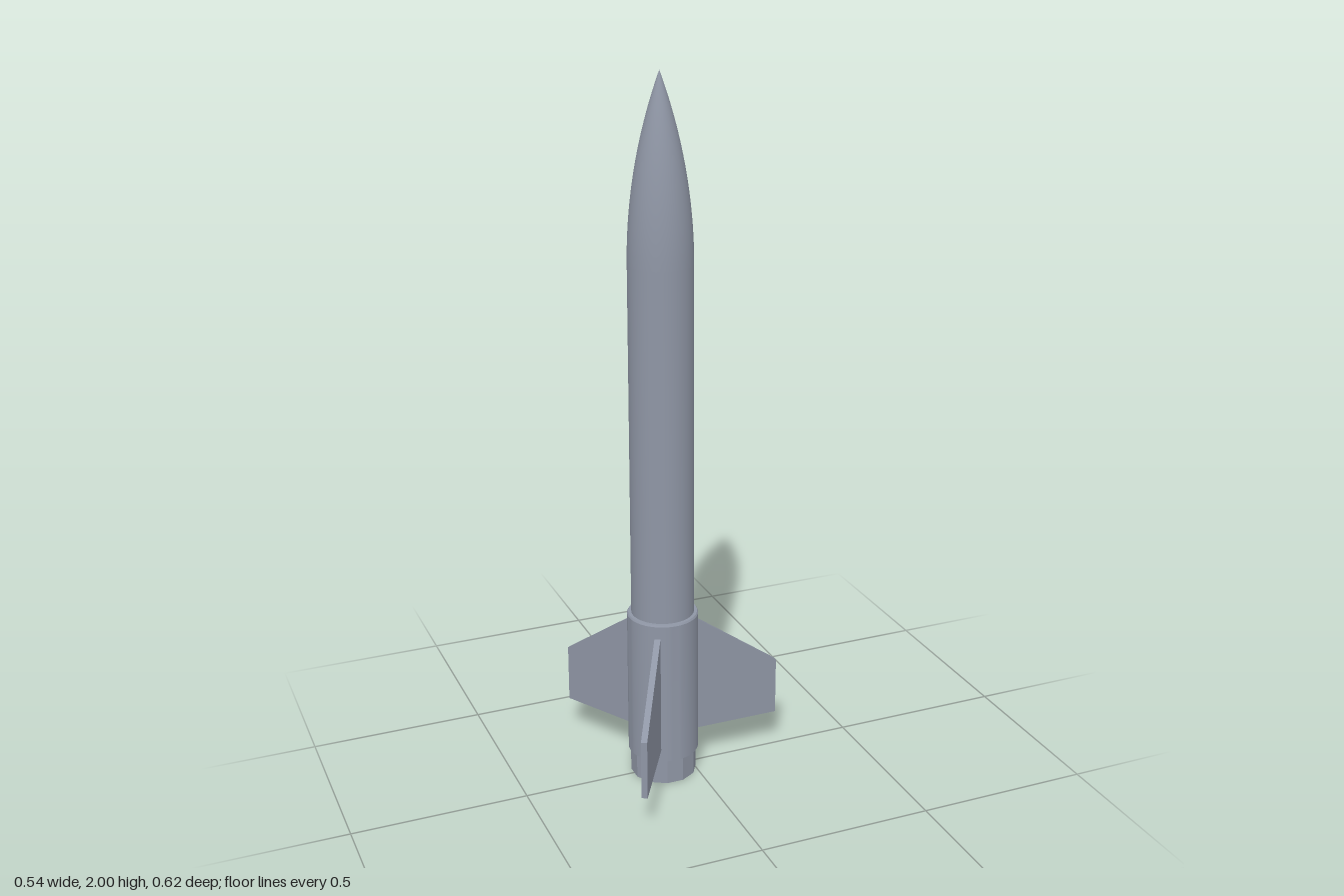
import * as THREE from 'three';
import { toCreasedNormals } from 'three/addons/utils/BufferGeometryUtils.js';

export function createModel() {
  const model = new THREE.Group();
  model.name = 'rocket';
  const grey = new THREE.MeshStandardMaterial({ color: 0x8f96a5 });
  grey.name = 'slate grey';

  // The body axis is offset because one of the three fins points along +x
  const rocket = new THREE.Group();
  rocket.name = 'rocketBody';
  rocket.position.x = -0.085;
  model.add(rocket);

  const add = (name, geometry, parent = rocket) => {
    const mesh = new THREE.Mesh(geometry, grey);
    mesh.name = name;
    parent.add(mesh);
    return mesh;
  };
  // Profiles run up the outside and down the inside, as [radius, height]
  const lathe = (points, sides = 64) => toCreasedNormals(
    new THREE.LatheGeometry(points.map(([r, y]) => new THREE.Vector2(r, y)), sides), 0.4);

  const R = 0.088, noseBase = 1.5, noseLength = 0.5;

  add('bodyTube', new THREE.CylinderGeometry(R, R, noseBase - 0.48, 64, 1, true))
    .position.y = (noseBase + 0.48) / 2;

  // Tangent ogive nose
  const rho = (R * R + noseLength * noseLength) / (2 * R);
  const ogive = [];
  for (let i = 0; i <= 28; i++) {
    const h = noseLength * i / 28;
    ogive.push(new THREE.Vector2(Math.max(0, Math.sqrt(rho * rho - h * h) + R - rho), noseBase + h));
  }
  add('noseCone', new THREE.LatheGeometry(ogive, 64));

  // Fin sleeve with a ledge at each end
  add('finSleeve', lathe([[0.066, 0.075], [0.1, 0.075], [0.1, 0.497], [0.097, 0.502], [R - 0.002, 0.502]]));

  // Twelve-sided retainer ring and the motor bore above it
  const ring = new THREE.Shape();
  for (let i = 0; i < 12; i++) {
    const a = (i + 0.5) * Math.PI / 6;
    ring[i ? 'lineTo' : 'moveTo'](0.094 * Math.cos(a), 0.094 * Math.sin(a));
  }
  ring.closePath();
  ring.holes.push(new THREE.Path().absarc(0, 0, 0.066, 0, Math.PI * 2, true));
  const ringGeometry = new THREE.ExtrudeGeometry(ring, { depth: 0.076, bevelEnabled: false, curveSegments: 24 });
  add('retainerRing', ringGeometry.rotateX(-Math.PI / 2));
  add('motorBore', lathe([[0, 0.4], [0.066, 0.4], [0.066, 0.07]].reverse().map((p) => p).reverse(), 32));

  // Three swept fins
  const t = 0.017;
  const fin = new THREE.Shape([[0.09, 0.11], [0.352, 0.11], [0.352, 0.28], [0.1, 0.46], [0.09, 0.467]]
    .map(([x, y]) => new THREE.Vector2(x, y)));
  const finGeometry = new THREE.ExtrudeGeometry(fin, { depth: t, bevelEnabled: false }).translate(0, 0, -t / 2);
  for (let i = 0; i < 3; i++) add('fin' + (i + 1), finGeometry).rotation.y = i * Math.PI * 2 / 3;

  // Hollow launch lug on the back, midway between two fins
  const lug = add('launchLug', lathe(
    [[0.016, 0.645], [0.02, 0.645], [0.02, 0.93], [0.016, 0.93], [0.016, 0.645]], 32));
  lug.position.set(0.108 * Math.cos(Math.PI / 3), 0, -0.108 * Math.sin(Math.PI / 3));

  return model;
}
